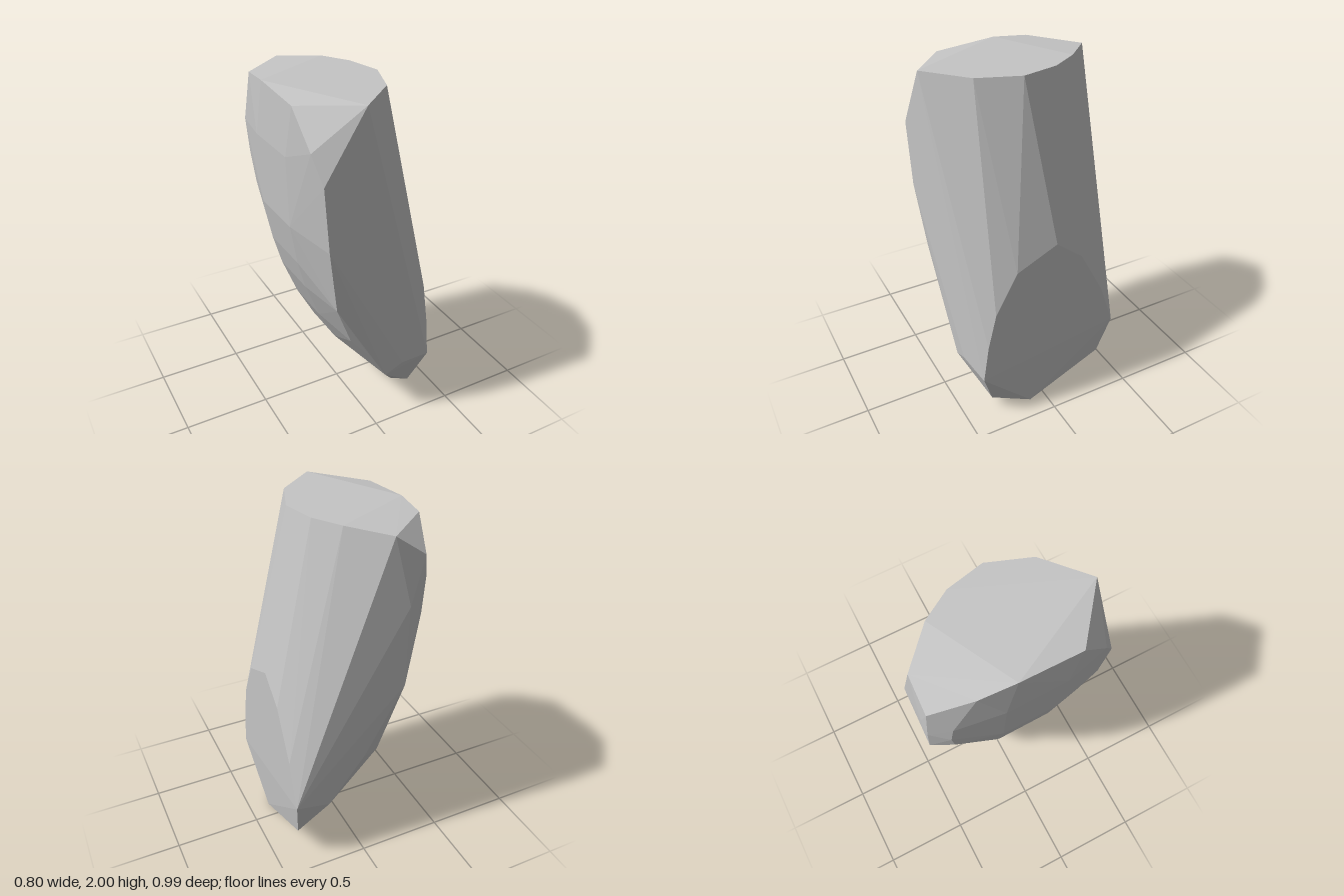
import * as THREE from 'three';
import { ConvexGeometry } from 'three/addons/geometries/ConvexGeometry.js';

const V = (x, y, z) => new THREE.Vector3(x, y, z);

export function createModel() {
  const grey = new THREE.MeshStandardMaterial({ color: 0xc5c5c5 });
  grey.name = 'light stone grey';
  const points = [];

  // flat top: rim as [x, z], the back corner dips slightly
  const rim = [[-0.1, 0.487], [0.12, 0.29], [0.205, 0.06], [0.16, -0.145], [0.065, -0.3],
    [-0.385, -0.07]];
  for (const [x, z] of rim) points.push(V(x, 2, z));
  points.push(V(-0.12, 1.98, -0.475), V(-0.37, 1.985, -0.265), V(-0.38, 1.975, 0.267));

  // flat cut on the +x side: outline as [z, y]
  const cut = [[0.413, 0.32], [0.38, 0.55], [0.33, 0.76], [0.2, 1.0], [-0.04, 1.11],
    [-0.2, 0.98], [-0.35, 0.7], [-0.44, 0.44]];
  for (const [z, y] of cut) points.push(V(0.4, y, z));

  // curved back: profile as [x, y], swept between two depths
  const spine = [[-0.4, 1.7], [-0.383, 1.3], [-0.34, 1.06], [-0.29, 0.88], [-0.2, 0.65],
    [-0.09, 0.44], [0.07, 0.24], [0.23, 0.1]];
  spine.forEach(([x, y], i) => {
    points.push(V(x, y, -0.13), V(x + 0.005, y, 0.21 - i * 0.015));
  });

  // chipped front edge
  const front = [[-0.36, 1.79, 0.42], [-0.33, 1.64, 0.492], [-0.3, 1.27, 0.488],
    [-0.24, 0.88, 0.453], [-0.13, 0.61, 0.41], [-0.02, 0.48, 0.44], [0.09, 0.295, 0.44],
    [0.2, 0.35, 0.445], [0.2, 0.14, 0.33], [0.325, 0.08, 0.33]];
  // chipped rear edge
  const rear = [[-0.29, 1.86, -0.48], [-0.36, 1.69, -0.39], [-0.215, 1.6, -0.495],
    [-0.26, 1.48, -0.493], [-0.34, 1.49, -0.4], [-0.32, 1.3, -0.38], [-0.215, 1.13, -0.49],
    [0, 0.7, -0.465], [-0.1, 0.69, -0.425], [0.2, 0.4, -0.44]];
  // pointed tip
  const tip = [[0.38, 0, 0.1], [0.345, 0.063, -0.13], [0.37, 0.195, -0.37]];
  for (const p of [...front, ...rear, ...tip]) points.push(V(...p));

  const stone = new THREE.Mesh(new ConvexGeometry(points), grey);
  stone.name = 'facetedStone';
  const group = new THREE.Group();
  group.name = 'stoneShard';
  group.add(stone);
  return group;
}
